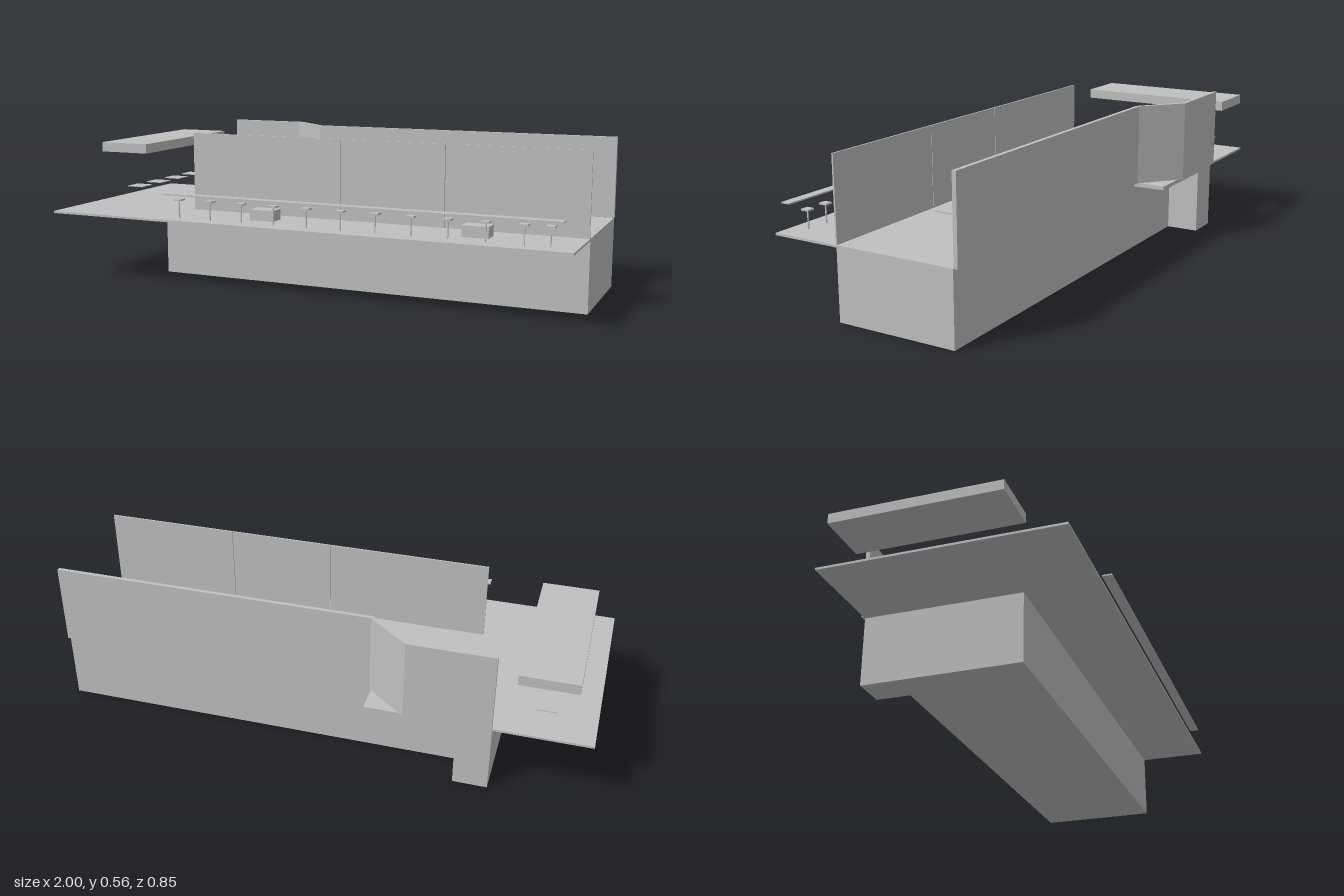
import * as THREE from 'three';

const grey = new THREE.MeshStandardMaterial({ color: 0xc0c0c0 });
grey.name = 'plain grey';

export function createModel() {
  const model = new THREE.Group();
  model.name = 'terraceBar';

  const add = (name, geometry) => {
    const mesh = new THREE.Mesh(geometry, grey);
    mesh.name = name;
    model.add(mesh);
    return mesh;
  };

  // Box given by its limits on each axis
  const box = (name, x0, x1, y0, y1, z0, z1) => {
    const mesh = add(name, new THREE.BoxGeometry(x1 - x0, y1 - y0, z1 - z0));
    mesh.position.set((x0 + x1) / 2, (y0 + y1) / 2, (z0 + z1) / 2);
    return mesh;
  };

  // Prism standing on a plan outline of [x, z] points
  const toPoints = (plan) => plan.map(([x, z]) => new THREE.Vector2(x, -z));
  const prism = (name, plan, y0, y1, hole) => {
    const shape = new THREE.Shape(toPoints(plan));
    if (hole) shape.holes.push(new THREE.Path(toPoints(hole)));
    const geometry = new THREE.ExtrudeGeometry(shape, { depth: y1 - y0, bevelEnabled: false });
    geometry.rotateX(-Math.PI / 2).translate(0, y0, 0);
    return add(name, geometry);
  };

  const floor = 0.26;

  // Base storey and the deck overhanging it
  prism('base', [[-0.655, 0.165], [1, 0.165], [1, -0.285], [-0.53, -0.285],
    [-0.53, -0.41], [-0.655, -0.41]], 0, 0.252);
  prism('deck', [[-1, 0.425], [1, 0.425], [1, -0.285], [-0.2, -0.285],
    [-0.2, -0.41], [-1, -0.41]], 0.252, floor);
  box('rearDeckEdge', -0.53, -0.2, 0.245, 0.252, -0.41, -0.285);

  // Rear wall with its angled jog
  prism('rearWall', [[1, -0.287], [-0.2, -0.287], [-0.355, -0.41], [-0.655, -0.41],
    [-0.655, -0.425], [-0.345, -0.425], [-0.195, -0.302], [1, -0.302]], floor, 0.56);

  // Front screen in three panels
  const joints = [-0.525, 0.09, 0.49, 1];
  for (let i = 0; i < 3; i++) {
    box('screenPanel', joints[i] + 0.001, joints[i + 1] - 0.001, floor, 0.557, 0.163, 0.169);
  }

  // Canopy over the side terrace, with small tables beneath
  box('canopy', -0.93, -0.725, 0.47, 0.507, -0.425, 0.195);
  for (let i = 0; i < 4; i++) {
    const z = 0.095 - i * 0.136;
    box('terraceTable', -0.86, -0.79, 0.325, 0.328, z - 0.035, z + 0.035);
  }

  // Serving counter with an open middle, and its raised bar top
  prism('counter', [[-0.65, -0.41], [-0.6, -0.175], [-0.365, -0.175], [-0.25, -0.255],
    [-0.36, -0.41]], floor, 0.335,
  [[-0.56, -0.35], [-0.36, -0.35], [-0.297, -0.3], [-0.36, -0.255], [-0.56, -0.255]]);
  prism('barTop', [[-0.595, -0.155], [-0.36, -0.155], [-0.218, -0.25], [-0.24, -0.27],
    [-0.368, -0.185], [-0.602, -0.185]], 0.335, 0.355);
  prism('tallCabinet', [[-0.385, -0.375], [-0.352, -0.408], [-0.2, -0.287], [-0.228, -0.25]],
    floor, 0.487);

  // Seating and low blocks
  box('wallBench', -0.195, 0.81, floor, 0.3, -0.287, -0.238);
  box('lowTable', -0.21, -0.115, floor, 0.3, 0.245, 0.305);
  box('lowTable', 0.595, 0.69, floor, 0.3, 0.245, 0.305);
  box('longTable', 0.43, 0.705, 0.322, 0.327, -0.08, -0.005);

  // Ledge along the front edge
  box('frontLedge', -0.505, 0.965, 0.352, 0.357, 0.39, 0.425);

  // Stools on thin posts
  const stool = (x, z) => {
    box('stoolSeat', x - 0.015, x + 0.015, 0.325, 0.331, z - 0.015, z + 0.015);
    box('stoolPost', x - 0.002, x + 0.002, floor, 0.325, z - 0.002, z + 0.002);
  };
  for (let i = 0; i < 11; i++) stool(-0.475 + i * 0.13, 0.362);
  stool(0.912, 0.362);
  for (const x of [-0.535, -0.475, -0.428]) stool(x, -0.12);
  for (const [x, z] of [[-0.315, -0.148], [-0.275, -0.178], [-0.23, -0.208]]) stool(x, z);

  return model;
}
